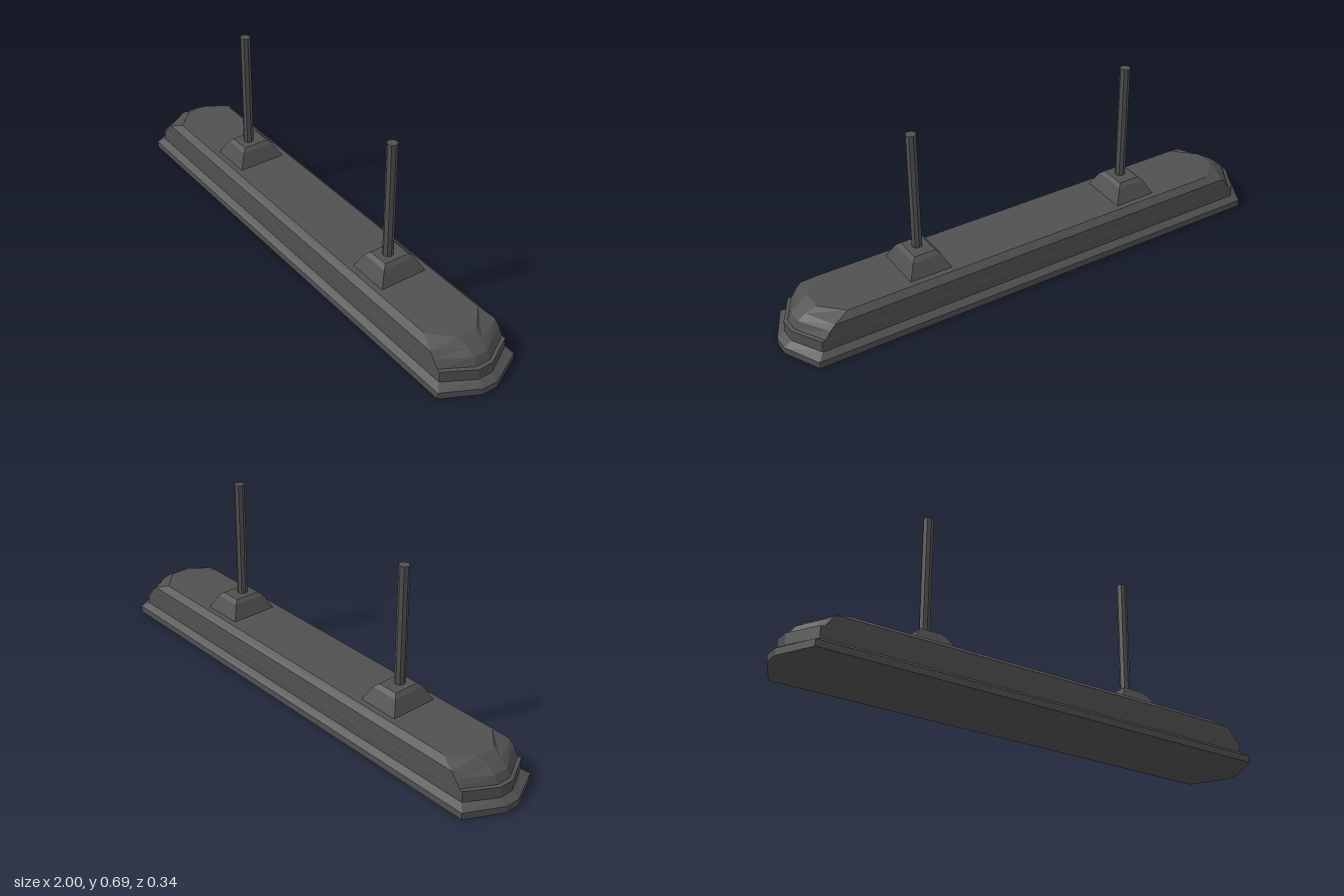
import * as THREE from 'three';

// Closed solid from stacked rings of [x, y, z], each counter-clockwise seen from above
function loft(rings) {
  const pos = [], n = rings[0].length;
  const tri = (a, b, c) => pos.push(...a, ...b, ...c);
  for (let r = 0; r < rings.length - 1; r++) {
    const lo = rings[r], hi = rings[r + 1];
    for (let i = 0; i < n; i++) {
      const j = (i + 1) % n;
      tri(lo[i], lo[j], hi[j]);
      tri(lo[i], hi[j], hi[i]);
    }
  }
  const bottom = rings[0], top = rings[rings.length - 1];
  for (let i = 1; i < n - 1; i++) {
    tri(bottom[0], bottom[i + 1], bottom[i]);
    tri(top[0], top[i], top[i + 1]);
  }
  const g = new THREE.BufferGeometry();
  g.setAttribute('position', new THREE.Float32BufferAttribute(pos, 3));
  g.computeVertexNormals();
  return g;
}

// Long bar outline with bevelled ends: tip length, corner length, half width, half tip width
const barRing = ([y, tip, corner, w, e]) => [
  [tip, -e], [corner, -w], [-corner, -w], [-tip, -e],
  [-tip, e], [-corner, w], [corner, w], [tip, e],
].map(([x, z]) => [x, y, z]);

const boxRing = ([y, hx, hz]) => [[hx, y, -hz], [-hx, y, -hz], [-hx, y, hz], [hx, y, hz]];

export function createModel() {
  const group = new THREE.Group();
  const darkGrey = new THREE.MeshStandardMaterial({ color: 0x505050 });
  darkGrey.name = 'darkGrey';
  const add = (name, geometry, parent) => {
    const mesh = new THREE.Mesh(geometry, darkGrey);
    mesh.name = name;
    parent.add(mesh);
    return mesh;
  };

  // Flared rim around the bottom
  add('baseRim', loft([
    [0, 1, 0.93, 0.168, 0.03],
    [0.026, 1, 0.93, 0.168, 0.03],
    [0.044, 0.97, 0.905, 0.144, 0.03],
  ].map(barRing)), group);

  // Housing with stepped ends and chamfered top
  add('housing', loft([
    [0.044, 0.97, 0.905, 0.144, 0.03],
    [0.087, 0.97, 0.905, 0.144, 0.03],
    [0.089, 0.955, 0.89, 0.143, 0.03],
    [0.118, 0.94, 0.87, 0.143, 0.03],
    [0.138, 0.91, 0.85, 0.142, 0.03],
    [0.16, 0.87, 0.79, 0.118, 0.04],
  ].map(barRing)), group);

  // Tapered mounts carrying the hanging rods
  for (const [side, x] of [['left', 0.45], ['right', -0.45]]) {
    const hanger = new THREE.Group();
    hanger.name = side + 'Hanger';
    hanger.position.x = x;
    add(side + 'Mount', loft([
      [0.155, 0.086, 0.098],
      [0.214, 0.056, 0.067],
      [0.227, 0.042, 0.052],
    ].map(boxRing)), hanger);
    const rod = new THREE.CylinderGeometry(0.02, 0.02, 0.468, 8).toNonIndexed();
    rod.computeVertexNormals();
    add(side + 'Rod', rod, hanger).position.set(0, 0.454, 0.008);
    group.add(hanger);
  }
  return group;
}
